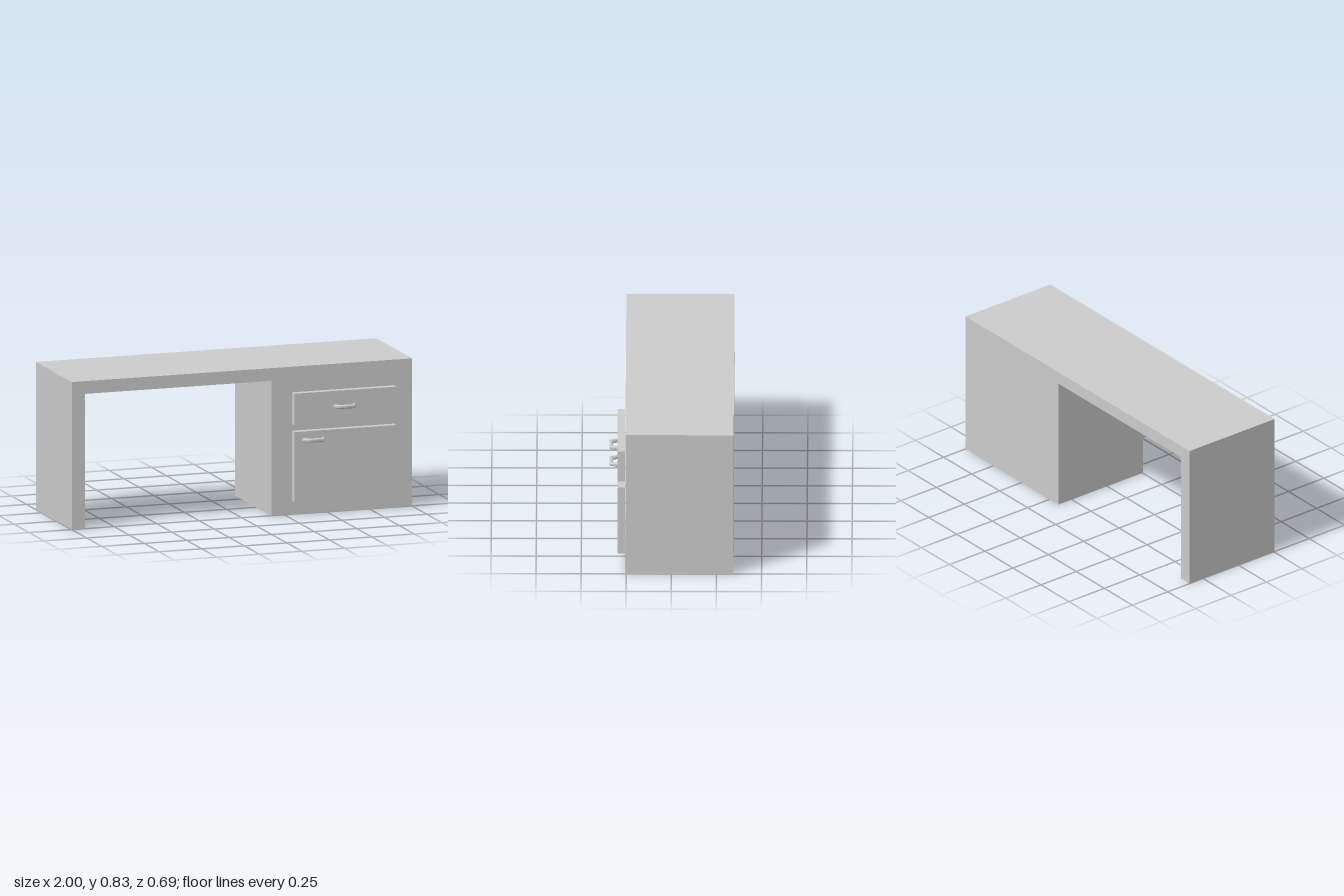
import * as THREE from 'three';
import { toCreasedNormals } from 'three/addons/utils/BufferGeometryUtils.js';

const material = new THREE.MeshStandardMaterial({ color: 0xcccccc });

function addMesh(parent, name, geometry, x = 0, y = 0, z = 0) {
  const mesh = new THREE.Mesh(geometry, material);
  mesh.name = name;
  mesh.position.set(x, y, z);
  parent.add(mesh);
}

// Desk body: top, side panel and cabinet as one extruded front profile
function bodyGeometry() {
  const shape = new THREE.Shape([
    [-1, 0], [-0.922, 0], [-0.922, 0.763], [0.172, 0.763],
    [0.172, 0], [1, 0], [1, 0.835], [-1, 0.835],
  ].map(([x, y]) => new THREE.Vector2(x, y)));
  return new THREE.ExtrudeGeometry(shape, { depth: 0.6, bevelEnabled: false });
}

// Bow handle: octagonal bar with mitred corners, feet on z = 0
function handleGeometry() {
  const sides = 8, radius = 0.0105 / Math.cos(Math.PI / sides);
  // Each ring: centre x, centre z, then the outward half-extent in x and z
  const rings = [
    [-0.0565, 0, -0.0115, 0],
    [-0.041, 0.0345, -0.006, 0.0105],
    [0.041, 0.0345, 0.006, 0.0105],
    [0.0565, 0, 0.0115, 0],
  ];
  const positions = [], index = [];
  rings.forEach(([cx, cz, ax, az], r) => {
    for (let j = 0; j < sides; j++) {
      const angle = ((j + 0.5) / sides) * Math.PI * 2;
      const out = Math.cos(angle) * radius / 0.0105;
      positions.push(cx + ax * out, Math.sin(angle) * radius, cz + az * out);
      if (r === rings.length - 1) continue;
      const a = r * sides + j, b = r * sides + (j + 1) % sides;
      index.push(a, a + sides, b + sides, a, b + sides, b);
    }
  });
  const geometry = new THREE.BufferGeometry();
  geometry.setAttribute('position', new THREE.Float32BufferAttribute(positions, 3));
  geometry.setIndex(index);
  return toCreasedNormals(geometry, 0.9);
}

export function createModel() {
  const desk = new THREE.Group();
  desk.name = 'desk';
  addMesh(desk, 'deskBody', bodyGeometry(), 0, 0, -0.345);

  // Drawer and door fronts, each with its handle
  const fronts = [
    { name: 'drawer', bottom: 0.51, top: 0.691, handleX: 0.589, handleY: 0.605 },
    { name: 'door', bottom: 0.077, top: 0.474, handleX: 0.405, handleY: 0.427 },
  ];
  for (const { name, bottom, top, handleX, handleY } of fronts) {
    const group = new THREE.Group();
    group.name = name;
    addMesh(group, name + 'Front', new THREE.BoxGeometry(0.6, top - bottom, 0.042),
      0.593, (top + bottom) / 2, 0.279);
    addMesh(group, name + 'Handle', handleGeometry(), handleX, handleY, 0.3);
    desk.add(group);
  }
  return desk;
}
